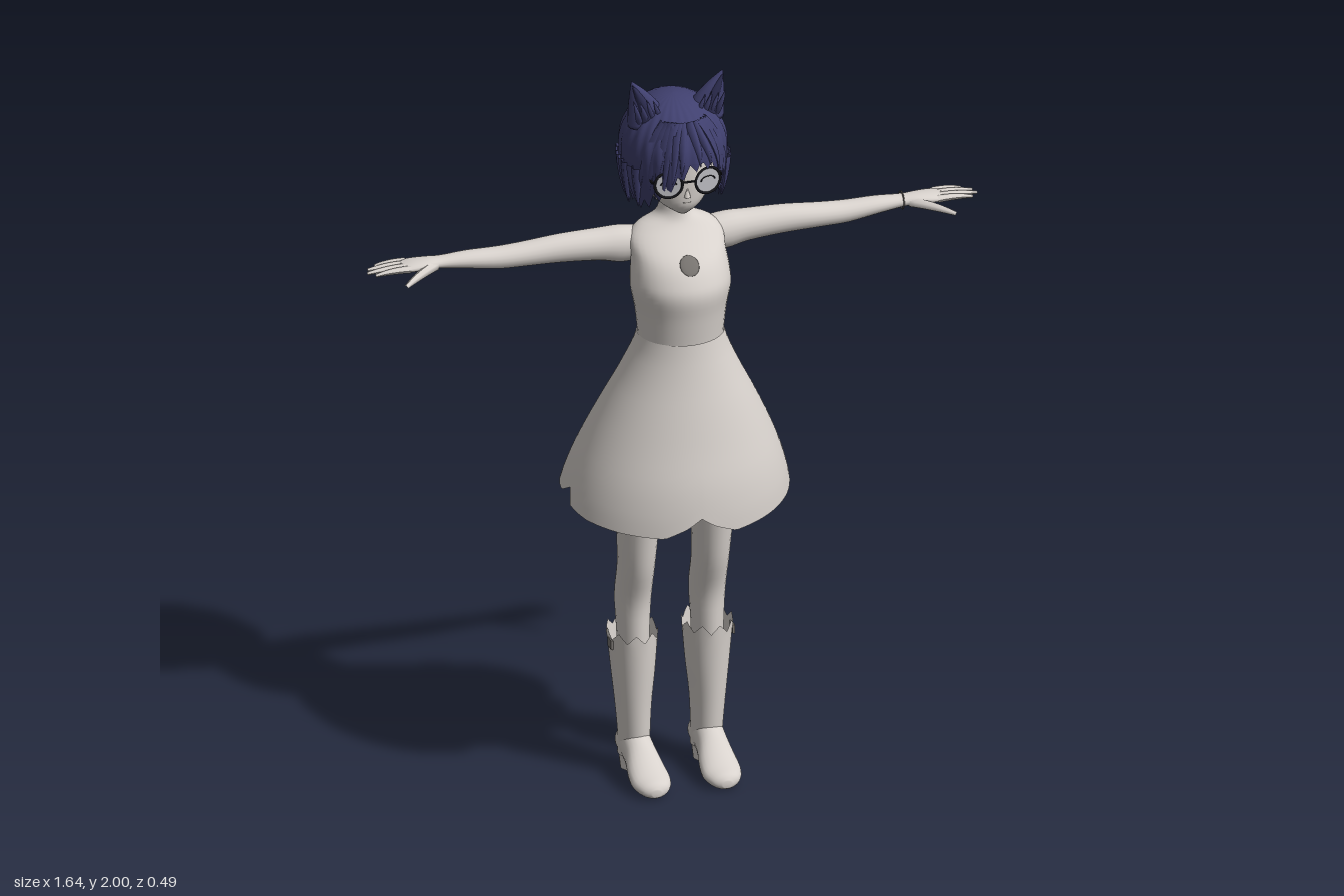
import * as THREE from 'three';

const mat = (name, color) => new THREE.MeshStandardMaterial({ name, color });

// Closed surface: point(angle, v) -> [x, y, z], v running bottom to top
function tubeGrid(point, cols, rows) {
  const pos = [], index = [];
  for (let j = 0; j <= rows; j++)
    for (let i = 0; i < cols; i++) pos.push(...point((i / cols) * Math.PI * 2, j / rows));
  for (let j = 0; j < rows; j++)
    for (let i = 0; i < cols; i++) {
      const a = j * cols + i, b = j * cols + ((i + 1) % cols);
      index.push(a, b, b + cols, a, b + cols, a + cols);
    }
  const g = new THREE.BufferGeometry();
  g.setAttribute('position', new THREE.Float32BufferAttribute(pos, 3));
  g.setIndex(index);
  g.computeVertexNormals();
  return g;
}

// Smooth interpolation through rows of numbers, t in 0..1
function sample(rows, t) {
  const n = rows.length - 1, f = Math.min(t * n, n - 1e-6), k = Math.floor(f), u = f - k;
  const at = (i) => rows[Math.max(0, Math.min(n, i))];
  return at(k).map((p1, c) => {
    const p0 = at(k - 1)[c], p2 = at(k + 1)[c], p3 = at(k + 2)[c];
    return p1 + 0.5 * u * (p2 - p0 + u * (2 * p0 - 5 * p1 + 4 * p2 - p3 + u * (3 * (p1 - p2) + p3 - p0)));
  });
}

// Loft through ellipses [height, centreX, centreZ, radiusX, radiusZ], closed at both ends
function loft(sections, cols = 28, steps = 4) {
  const rows = (sections.length - 1) * steps;
  return tubeGrid((a, v) => {
    const j = Math.round(v * (rows + 2)) - 1;
    const s = sample(sections, Math.max(0, Math.min(1, j / rows)));
    const r = j < 0 || j > rows ? 0 : 1;
    return [s[1] + r * s[3] * Math.sin(a), s[0], s[2] + r * s[4] * Math.cos(a)];
  }, cols, rows + 2);
}

// Tapering strand along a three-point curve
function strand(a, b, c, radius, tip = 0.05, sides = 6) {
  const curve = new THREE.QuadraticBezierCurve3(...[a, b, c].map((p) => new THREE.Vector3(...p)));
  const n = 8, g = new THREE.TubeGeometry(curve, n, radius, sides);
  const p = g.attributes.position, v = new THREE.Vector3();
  for (let i = 0; i < p.count; i++) {
    const t = Math.floor(i / (sides + 1)) / n;
    const keep = 1 - (1 - tip) * t * t;
    v.fromBufferAttribute(p, i).sub(curve.getPointAt(t)).multiplyScalar(keep).add(curve.getPointAt(t));
    p.setXYZ(i, v.x, v.y, v.z);
  }
  g.computeVertexNormals();
  return g;
}

function mirrored(geo) {
  const g = geo.clone().scale(-1, 1, 1), ix = g.index.array;
  for (let i = 0; i < ix.length; i += 3) [ix[i], ix[i + 1]] = [ix[i + 1], ix[i]];
  g.computeVertexNormals();
  return g;
}

export function createModel() {
  const model = new THREE.Group();
  model.name = 'girlWithCatEars';
  const body = mat('warmGrey', 0xd8d2cd), hairMat = mat('navyHair', 0x40406f);
  const dark = mat('darkNavy', 0x2c2c50), black = mat('black', 0x15151a);
  const lensMat = mat('lensGrey', 0xbfbfc4), mark = mat('markGrey', 0x77736f);
  const cloth = body.clone();
  cloth.side = hairMat.side = THREE.DoubleSide;
  const add = (name, geo, m) => {
    const mesh = new THREE.Mesh(geo, m);
    mesh.name = name;
    model.add(mesh);
    return mesh;
  };
  const pair = (name, geo, m) => {
    add(name + 'Left', geo, m);
    add(name + 'Right', mirrored(geo), m);
  };
  const { lerp } = THREE.MathUtils;

  // Torso with bust, shoulders and neck
  add('torso', loft([
    [0.93, 0, 0.015, 0.13, 0.09], [1.1, 0, 0.03, 0.125, 0.095], [1.24, 0, 0.055, 0.112, 0.1],
    [1.29, 0, 0.06, 0.113, 0.102], [1.36, 0, 0.06, 0.12, 0.112], [1.42, 0, 0.06, 0.131, 0.121],
    [1.46, 0, 0.055, 0.13, 0.115], [1.505, 0, 0.04, 0.125, 0.1], [1.545, 0, 0.015, 0.125, 0.07],
    [1.575, 0, 0, 0.1, 0.05], [1.6, 0, -0.002, 0.05, 0.04], [1.64, 0, 0, 0.037, 0.037],
    [1.72, 0, 0, 0.037, 0.037]], 36), body);
  const emblem = add('chestMark', new THREE.SphereGeometry(1, 12, 8), mark);
  emblem.scale.set(0.026, 0.03, 0.005);
  emblem.position.set(0, 1.505, 0.14);
  emblem.rotation.x = -Math.PI / 4;

  // Flared skirt: longer front panel, step at each side, notch in the middle
  const skirtRows = [[0.305, 0.25, 0], [0.282, 0.229, 0.012], [0.245, 0.195, 0.025],
    [0.2, 0.162, 0.038], [0.152, 0.13, 0.05], [0.114, 0.106, 0.06]];
  const hem = [[0, 0.83], [0.12, 0.805], [0.32, 0.78], [0.7, 0.79], [1.1, 0.805], [1.38, 0.825],
    [1.41, 0.87], [1.6, 0.842], [2.3, 0.84], [3.15, 0.84]];
  const lookup = (table, x) => {
    const k = Math.max(1, table.findIndex((p) => p[0] >= x));
    const [p, q] = [table[k - 1], table[k]];
    return lerp(p[1], q[1], (x - p[0]) / (q[0] - p[0]));
  };
  add('skirt', tubeGrid((a, v) => {
    const y = lerp(lookup(hem, Math.min(a, Math.PI * 2 - a)), 1.29, v);
    const [rx, rz, cz] = sample(skirtRows, Math.max(0, (y - 0.81) / 0.48));
    return [rx * Math.sin(a), y, cz + rz * Math.cos(a)];
  }, 144, 16), cloth);

  // Arms with palms, fingers and thumbs
  const armRows = [[0.08, 1.52, -0.01, 0.042, 0.045], [0.14, 1.52, -0.013, 0.05, 0.045],
    [0.2, 1.525, -0.015, 0.043, 0.042], [0.3, 1.528, -0.015, 0.038, 0.037],
    [0.4, 1.525, -0.016, 0.032, 0.035], [0.47, 1.524, -0.017, 0.029, 0.033],
    [0.55, 1.53, -0.018, 0.023, 0.029], [0.62, 1.533, -0.018, 0.016, 0.023],
    [0.66, 1.535, -0.018, 0.014, 0.029], [0.7, 1.533, -0.021, 0.013, 0.034],
    [0.73, 1.531, -0.022, 0.009, 0.033]];
  pair('arm', loft(armRows.map(([x, y, ...r]) => [x, -y, ...r]), 20).rotateZ(Math.PI / 2 * -1)
    .rotateX(0), body);
  [[-0.047, 0.79], [-0.03, 0.815], [-0.012, 0.822], [0.005, 0.805]].forEach(([z, tip], i) =>
    pair('finger' + (i + 1), strand([0.71, 1.533, z], [0.76, 1.536, z - 0.002], [tip, 1.528, z * 1.15], 0.0095, 0.4), body));
  pair('thumb', strand([0.64, 1.53, -0.005], [0.69, 1.528, 0.025], [0.742, 1.515, 0.068], 0.014, 0.4), body);
  const bracelet = add('bracelet', new THREE.TorusGeometry(0.023, 0.002, 6, 20), mark);
  bracelet.position.set(0.62, 1.533, -0.018);
  bracelet.rotation.y = Math.PI / 2;

  // Legs
  pair('leg', loft([[0.25, 0.1, -0.03, 0.037, 0.05], [0.4, 0.1, -0.032, 0.042, 0.055],
    [0.5, 0.1, -0.033, 0.047, 0.061], [0.6, 0.1, -0.005, 0.048, 0.063],
    [0.7, 0.1, 0.008, 0.053, 0.068], [0.8, 0.098, 0.015, 0.058, 0.075],
    [0.95, 0.082, 0.02, 0.072, 0.085], [1.02, 0.075, 0.02, 0.06, 0.07]], 24), body);

  // Boots: ragged-topped shaft, foot and heel
  const shaft = [[0.05, 0.098, -0.035, 0.041, 0.046], [0.1, 0.098, -0.03, 0.041, 0.05],
    [0.2, 0.1, -0.03, 0.047, 0.058], [0.3, 0.1, -0.033, 0.057, 0.068], [0.41, 0.101, -0.035, 0.066, 0.077]];
  pair('bootShaft', tubeGrid((a, v) => {
    const s = sample(shaft, v), rag = v === 1 ? 0.012 * Math.sin(a * 9) : 0;
    return [s[1] + s[3] * Math.sin(a), s[0] - 0.008 * v + rag, s[2] + s[4] * Math.cos(a)];
  }, 36, 14), cloth);
  pair('bootFoot', loft([[-0.086, 0.098, -0.07, 0.022, 0.024], [-0.07, 0.098, -0.075, 0.039, 0.042],
    [-0.02, 0.098, -0.078, 0.041, 0.052], [0.03, 0.097, -0.062, 0.043, 0.05],
    [0.08, 0.096, -0.039, 0.051, 0.037], [0.12, 0.095, -0.028, 0.051, 0.027],
    [0.152, 0.095, -0.022, 0.036, 0.021], [0.165, 0.095, -0.018, 0.012, 0.01]], 24).rotateX(Math.PI / 2), body);
  pair('bootHeel', new THREE.CylinderGeometry(0.036, 0.029, 0.06, 20).translate(0.098, 0.03, -0.05), body);
  pair('bootMark', new THREE.BoxGeometry(0.006, 0.025, 0.03).translate(0.164, 0.375, -0.02), mark);

  // Head and face
  add('head', loft([[1.633, 0, 0.07, 0.016, 0.022], [1.66, 0, 0.045, 0.058, 0.07],
    [1.7, 0, 0.018, 0.09, 0.103], [1.76, 0, 0, 0.106, 0.124], [1.82, 0, -0.005, 0.108, 0.125],
    [1.88, 0, -0.005, 0.08, 0.095]], 32), body);
  add('nose', new THREE.ConeGeometry(0.009, 0.03, 8).translate(0, 1.708, 0.121), body);
  add('mouth', new THREE.BoxGeometry(0.022, 0.002, 0.004).translate(0, 1.676, 0.117), mark);
  pair('earLobe', new THREE.SphereGeometry(0.025, 10, 8).scale(0.5, 1.2, 0.8).translate(0.105, 1.71, -0.015), body);

  // Round glasses with eyes
  const place = (g) => g.rotateY(0.2).translate(0.053, 1.738, 0.129);
  pair('glassesRim', place(new THREE.TorusGeometry(0.036, 0.0035, 6, 28)), black);
  pair('glassesLens', place(new THREE.CircleGeometry(0.035, 24)), lensMat);
  pair('eyelash', place(new THREE.TorusGeometry(0.02, 0.002, 5, 14, Math.PI).scale(1, 0.6, 1)), black);
  pair('temple', new THREE.BoxGeometry(0.004, 0.006, 0.13).rotateY(-0.12).translate(0.1, 1.745, 0.055), black);
  add('glassesBridge', new THREE.BoxGeometry(0.04, 0.004, 0.004).translate(0, 1.742, 0.134), black);

  // Bobbed hair: ridged cap with a pointed hem, swept to the right over one eye
  const D = Math.PI / 180;
  const hairHem = [[-180, 1.645], [-100, 1.65], [-80, 1.69], [-50, 1.68], [-32, 1.71], [-20, 1.755],
    [-5, 1.795], [28, 1.795], [40, 1.76], [50, 1.69], [80, 1.69], [100, 1.65], [181, 1.645]];
  const hairPoint = (a, y, swell = 1) => {
    const d = 1.8 - y;
    const r = swell * (d < 0 ? Math.sqrt(Math.max(0, 1 - (d / 0.135) ** 2)) : 1 - 6.5 * d * d);
    return [0.14 * r * Math.sin(a), y, -0.006 + 0.157 * r * Math.cos(a)];
  };
  add('hairCap', tubeGrid((a, v) => {
    const deg = a / D > 180 ? a / D - 360 : a / D;
    const tooth = Math.abs(((a * 26) / (Math.PI * 2)) % 1 - 0.5) * 2;
    const bottom = lookup(hairHem, deg) - 0.028 * (1 - tooth) + 0.01 * Math.sin(a * 7);
    const y = v < 0.5 ? lerp(Math.min(bottom, 1.795), 1.8, v * 2) : 1.8 + 0.135 * Math.sin((v - 0.5) * Math.PI);
    return hairPoint(a, y, 1 - 0.025 * tooth);
  }, 156, 24), hairMat);
  // Loose strands along the hem
  for (let i = 0; i < 26; i++) {
    const a = (62 + (i * 236) / 25) * D, wob = Math.sin(i * 2.4);
    const side = Math.abs(Math.cos(a)) < 0.3 || Math.cos(a) > 0 ? 0.035 : 0;
    add('hairStrand' + (i + 1), strand(hairPoint(a, 1.77, 0.96), hairPoint(a + 0.03 * wob, 1.7, 1.0),
      hairPoint(a + 0.12 * wob, 1.622 + side + 0.014 * wob, 1.04), 0.016, 0.05, 5), hairMat);
  }
  // Fringe strands fanning from the parting
  [[-62, 1.68], [-50, 1.665], [-40, 1.69], [-30, 1.7], [-20, 1.735], [-10, 1.765], [12, 1.785], [26, 1.78],
    [40, 1.745], [52, 1.67], [62, 1.68]].forEach(([deg, y], i) =>
    add('fringeStrand' + (i + 1), strand(hairPoint(deg * 0.5 * D, 1.895, 0.97),
      hairPoint(deg * 0.85 * D, 1.82, 1.06), hairPoint(deg * D, y, 0.99), 0.016, 0.05, 5), hairMat));

  // Cat ears with dark inner tufts
  const ear = [[1.865, 0.077, 0.018, 0.052, 0.034], [1.915, 0.085, 0.02, 0.044, 0.028],
    [1.96, 0.102, 0.026, 0.025, 0.017], [1.998, 0.122, 0.03, 0.002, 0.002]];
  pair('catEar', loft(ear, 20), hairMat);
  pair('catEarInner', loft(ear.map(([y, x, z, rx, rz]) => [y - 0.008, x, z + 0.008, rx * 0.6, rz * 0.9]), 16), dark);
  for (let i = 0; i < 4; i++)
    pair('earTuft' + (i + 1), strand([0.05 + i * 0.018, 1.885, 0.04], [0.06 + i * 0.018, 1.92, 0.06],
      [0.07 + i * 0.018, 1.945 + 0.006 * (i % 2), 0.05], 0.009, 0.05, 5), hairMat);
  return model;
}
